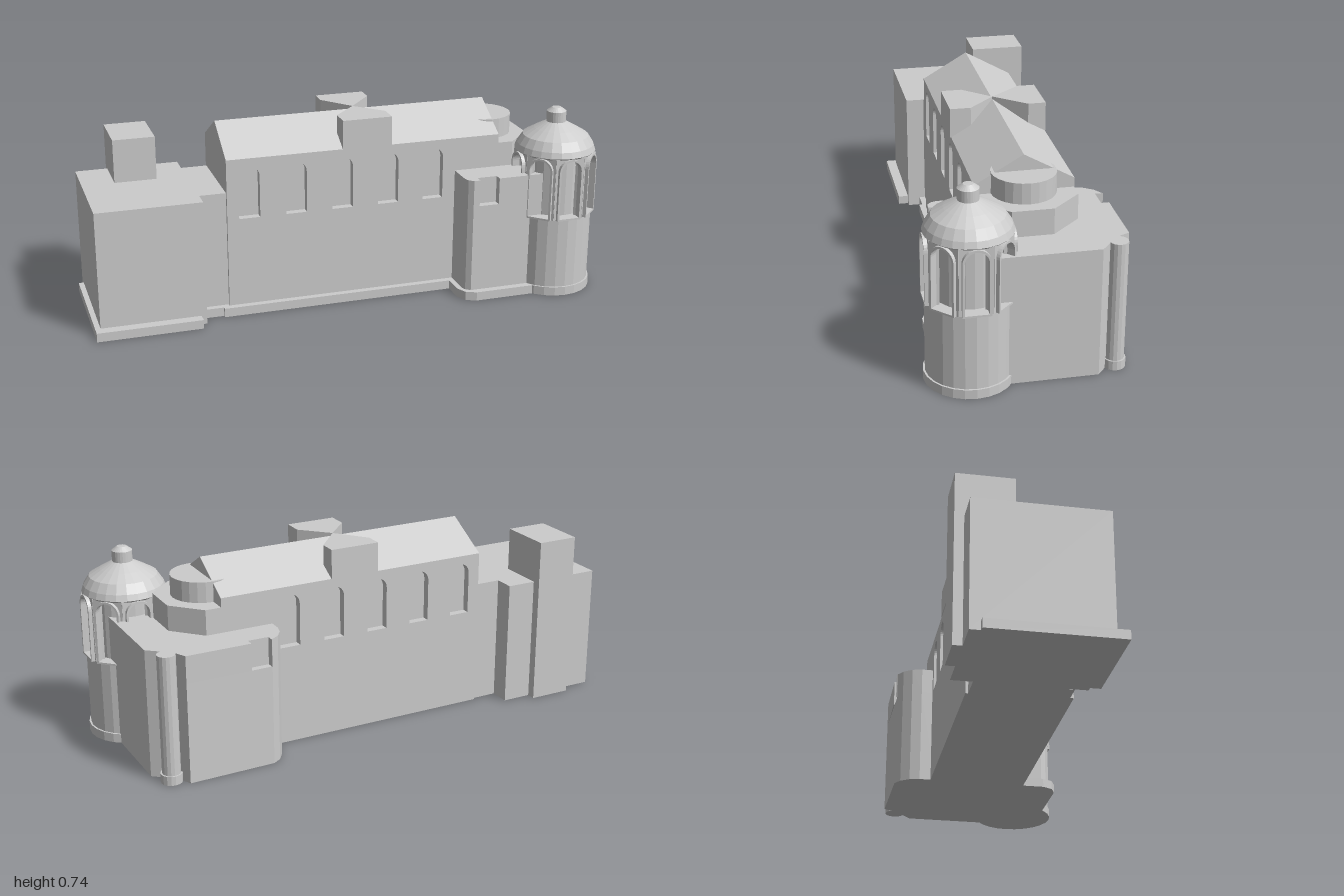
import * as THREE from 'three';

export function createModel() {
  const model = new THREE.Group();
  model.name = 'church';
  const stone = new THREE.MeshStandardMaterial({ color: 0xcccccc, flatShading: true });
  stone.name = 'pale stone';

  const add = (name, geometry, parent = model) => {
    const mesh = new THREE.Mesh(geometry, stone);
    mesh.name = name;
    parent.add(mesh);
    return mesh;
  };
  // Box given by its limits
  const block = (name, x0, x1, y0, y1, z0, z1) => {
    const g = new THREE.BoxGeometry(x1 - x0, y1 - y0, z1 - z0);
    g.translate((x0 + x1) / 2, (y0 + y1) / 2, (z0 + z1) / 2);
    return add(name, g);
  };
  const extrude = (shape, depth) =>
    new THREE.ExtrudeGeometry(shape, { depth, bevelEnabled: false, curveSegments: 8 });
  // Upright prism over a plan outline of [x, z] points
  const prism = (name, plan, y0, y1) => {
    const g = extrude(new THREE.Shape(plan.map(([x, z]) => new THREE.Vector2(x, -z))), y1 - y0);
    g.rotateX(-Math.PI / 2).translate(0, y0, 0);
    return add(name, g);
  };
  // Round-headed arch outline
  const arch = (Type, x, width, y0, top) => {
    const r = width / 2, p = new Type();
    p.moveTo(x - r, y0);
    p.lineTo(x + r, y0);
    p.lineTo(x + r, top - r);
    p.absarc(x, top - r, r, 0, Math.PI, false);
    p.closePath();
    return p;
  };
  const rect = (x0, x1, y0, y1) => new THREE.Shape([
    new THREE.Vector2(x0, y0), new THREE.Vector2(x1, y0),
    new THREE.Vector2(x1, y1), new THREE.Vector2(x0, y1)]);

  // West block, its square tower and the link to the nave
  block('westBlock', -0.98, -0.577, 0, 0.49, -0.29, 0.2);
  block('westPlinth', -1, -0.598, 0, 0.035, -0.25, 0.24);
  block('squareTower', -0.855, -0.692, 0, 0.66, -0.325, -0.11);
  block('link', -0.58, -0.47, 0, 0.49, -0.21, 0.128);
  block('linkPlinth', -0.575, -0.47, 0, 0.035, -0.2, 0.152);

  // Nave: inner core, windowed walls and gabled roof
  const W = -0.475, E = 0.62, back = -0.22, front = 0.14, mid = -0.037, wall = 0.03;
  block('naveCore', W, E, 0, 0.622, back + wall, front - wall);
  const naveWall = rect(W, E, 0, 0.622);
  for (let i = 0; i < 5; i++) {
    naveWall.holes.push(arch(THREE.Path, -0.388 + i * 0.184, 0.082, 0.385, 0.59));
  }
  for (const [name, z] of [['frontNaveWall', front - wall], ['backNaveWall', back]]) {
    add(name, extrude(naveWall, wall)).position.z = z;
  }
  const gable = new THREE.Shape([
    new THREE.Vector2(-front, 0.622), new THREE.Vector2(-back, 0.622), new THREE.Vector2(-mid, 0.725)]);
  add('naveRoof', extrude(gable, E - W).rotateY(Math.PI / 2).translate(W, 0, 0));
  block('navePlinth', -0.5, 0.45, 0, 0.035, 0.1, 0.165);

  // Flat-topped dormers whose inner ends meet in a point at the ridge
  for (const [name, edge, shoulder] of [
    ['frontDormer', front + 0.004, 0.065], ['backDormer', back - 0.002, -0.155]]) {
    prism(name, [[-0.02, edge], [0.175, edge], [0.175, shoulder], [0.075, mid], [-0.02, shoulder]],
      0.622, 0.735);
  }

  // East block, with window notches cut into the upper part
  const eastPlan = (notch) => [
    [0.44, 0.245], [0.447, 0.265], [0.465, 0.28],
    ...(notch ? [[0.49, 0.28], [0.49, 0.25], [0.57, 0.25], [0.57, 0.28]] : []),
    [0.8, 0.28], [0.925, 0.2], [0.925, -0.245], [0.89, -0.275], [0.85, -0.3], [0.82, -0.365],
    ...(notch ? [[0.57, -0.365], [0.57, -0.335], [0.49, -0.335], [0.49, -0.365]] : []),
    [0.487, -0.36], [0.455, -0.34], [0.43, -0.305], [0.42, -0.265], [0.42, -0.2], [0.44, -0.2]];
  prism('eastBlock', eastPlan(false), 0, 0.385);
  prism('eastBlockTop', eastPlan(true), 0.385, 0.49);
  prism('eastPlinth', [[0.42, 0.14], [0.42, 0.25], [0.44, 0.29], [0.48, 0.308], [0.8, 0.308], [0.8, 0.14]],
    0, 0.035);

  // Corner column
  const column = (name, r, h) =>
    add(name, new THREE.CylinderGeometry(r, r, h, 16).translate(0.872, h / 2, -0.315));
  column('cornerColumn', 0.034, 0.49);
  column('cornerColumnBase', 0.04, 0.035);

  // Choir with angled corners and the round apse over it
  prism('choir', [[0.6, back], [0.68, back], [0.782, -0.11], [0.782, 0.04], [0.68, front], [0.6, front]],
    0.48, 0.587);
  add('apse', new THREE.CylinderGeometry(0.117, 0.117, 0.085, 24).translate(0.617, 0.6225, mid));

  // Round tower
  const tower = new THREE.Group();
  tower.name = 'roundTower';
  tower.position.set(0.835, 0, 0.2);
  model.add(tower);
  const drum = (name, r, y0, y1) =>
    add(name, new THREE.CylinderGeometry(r, r, y1 - y0, 24).translate(0, (y0 + y1) / 2, 0), tower);
  drum('towerPlinth', 0.161, 0, 0.035);
  drum('towerBody', 0.154, 0.035, 0.318);
  drum('arcadeCore', 0.115, 0.31, 0.565);

  // Arcade: eight walls with arched openings and raised frames
  const bay = rect(-0.061, 0.061, 0.315, 0.565);
  bay.holes.push(arch(THREE.Path, 0, 0.084, 0.322, 0.555));
  const frame = arch(THREE.Shape, 0, 0.1, 0.315, 0.563);
  frame.holes.push(arch(THREE.Path, 0, 0.084, 0.322, 0.555));
  const bayGeometry = extrude(bay, 0.035).translate(0, 0, 0.11);
  const frameGeometry = extrude(frame, 0.016).translate(0, 0, 0.143);
  for (let i = 0; i < 8; i++) {
    add('arcadeBay', bayGeometry, tower).rotation.y = i * Math.PI / 4;
    add('archFrame', frameGeometry, tower).rotation.y = i * Math.PI / 4;
  }

  // Dome and lantern
  const dome = [[0, 0.56], [0.15, 0.56], [0.158, 0.567], [0.15, 0.59], [0.128, 0.624], [0.085, 0.65],
    [0.038, 0.676], [0.038, 0.717], [0.018, 0.732], [0, 0.733]];
  add('dome', new THREE.LatheGeometry(dome.map(([r, y]) => new THREE.Vector2(r, y)), 24), tower);

  return model;
}
